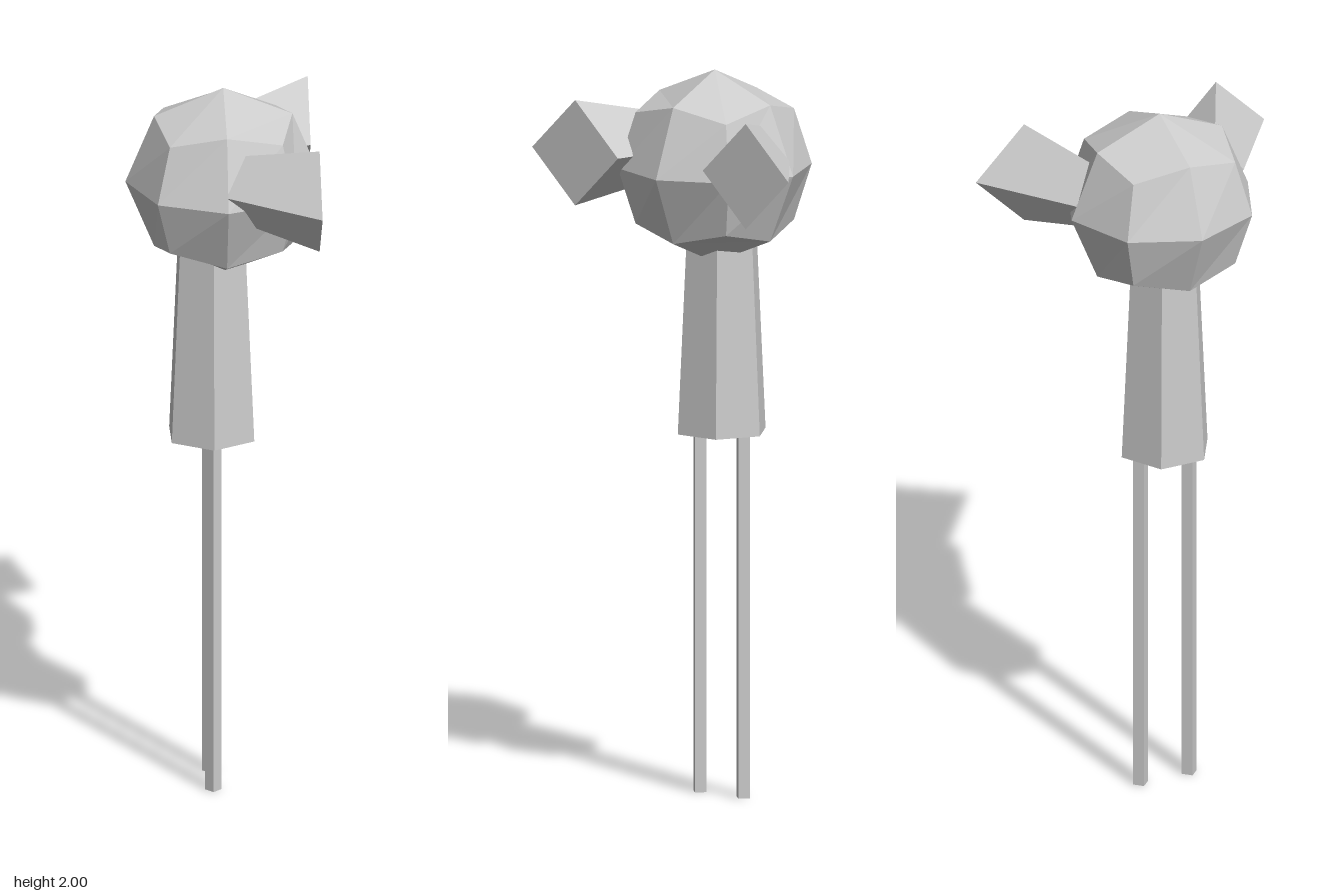
import * as THREE from 'three';

export function createModel() {
  const model = new THREE.Group();
  const material = new THREE.MeshStandardMaterial({ color: 0xcccccc, flatShading: true });

  function add(name, geometry, x = 0, y = 0, z = 0) {
    const faceted = geometry.toNonIndexed();
    faceted.computeVertexNormals();
    const mesh = new THREE.Mesh(faceted, material);
    mesh.name = name;
    mesh.position.set(x, y, z);
    model.add(mesh);
  }

  // Move every vertex of a geometry by a rule
  function moveVertices(geometry, rule) {
    const p = geometry.attributes.position;
    const v = new THREE.Vector3();
    for (let i = 0; i < p.count; i++) {
      rule(v.fromBufferAttribute(p, i));
      p.setXYZ(i, v.x, v.y, v.z);
    }
    return geometry;
  }

  // Head: a subdivided cube pushed out to a sphere
  const head = moveVertices(new THREE.BoxGeometry(1, 1, 1, 2, 2, 2), v => v.setLength(0.265));
  add('head', head, 0, 1.735, 0);

  // Body: tapered six-sided column, its top hidden in the head
  const bodyX = -0.031;
  add('body', new THREE.CylinderGeometry(0.102, 0.129, 0.56, 6), bodyX, 1.28, 0);

  for (const side of [1, -1]) {
    const label = side > 0 ? 'front' : 'back';

    // Thin four-sided legs
    add(label + 'Leg', new THREE.CylinderGeometry(0.0225, 0.0225, 1, 4), bodyX, 0.5, side * 0.073);

    // Flared square ear, sheared outward so that its end stays flat facing +x
    const length = 0.245;
    const ear = new THREE.CylinderGeometry(0.145, 0.0875, length, 4);
    ear.rotateZ(-Math.PI / 2).translate(length / 2, 0, 0);
    moveVertices(ear, v => { v.z += side * (0.166 + 0.5 * v.x); });
    add(label + 'Ear', ear, 0, 1.775, 0);
  }

  return model;
}
